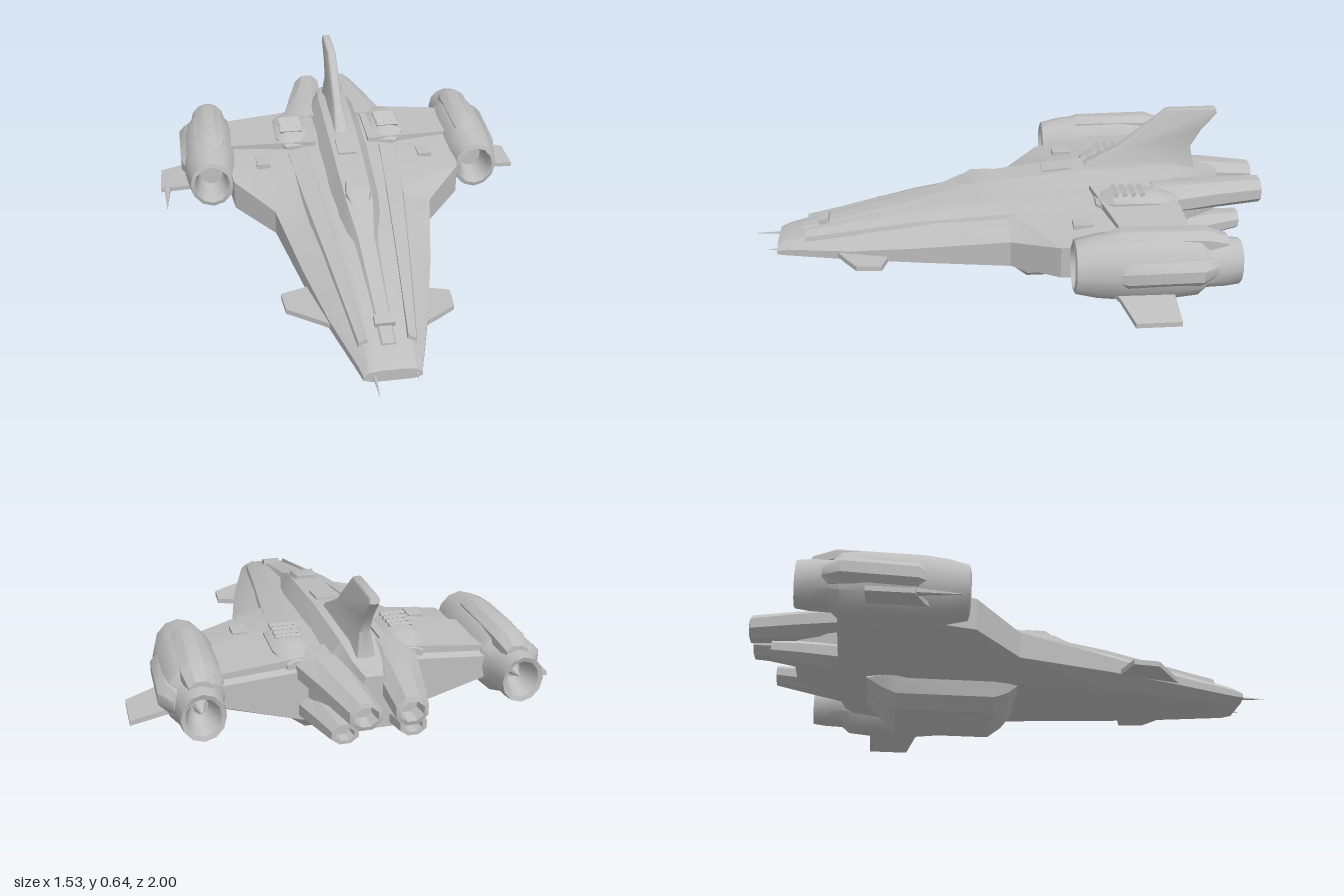
import * as THREE from 'three';
import { toCreasedNormals } from 'three/addons/utils/BufferGeometryUtils.js';

export function createModel() {
  const group = new THREE.Group();
  const hullGrey = new THREE.MeshStandardMaterial({ color: 0xbebebe });
  hullGrey.name = 'hull grey';

  const add = (name, geo, crease = 0.6) => {
    const mesh = new THREE.Mesh(toCreasedNormals(geo, crease), hullGrey);
    mesh.name = name;
    group.add(mesh);
    return mesh;
  };

  // Skin between rings of [x, y, z], front to back, each counter-clockwise seen from the front
  function loft(rings) {
    const n = rings[0].length, pos = rings.flat(2), idx = [];
    for (let i = 0; i < rings.length - 1; i++) {
      for (let j = 0; j < n; j++) {
        const k = (j + 1) % n, a = i * n, b = a + n;
        idx.push(b + j, b + k, a + k, b + j, a + k, a + j);
      }
    }
    [0, rings.length - 1].forEach((r, back) => {
      const c = pos.length / 3;
      for (let d = 0; d < 3; d++) pos.push(rings[r].reduce((t, p) => t + p[d], 0) / n);
      for (let j = 0; j < n; j++) {
        const p = r * n + j, q = r * n + (j + 1) % n;
        idx.push(c, back ? q : p, back ? p : q);
      }
    });
    const geo = new THREE.BufferGeometry();
    geo.setAttribute('position', new THREE.Float32BufferAttribute(pos, 3));
    geo.setIndex(idx);
    return geo;
  }

  // Symmetric ring from its right half, listed top to bottom
  const symRing = (z, half) => [
    ...half.map(([x, y]) => [-x, y, z]),
    ...half.filter(p => p[0] > 0).reverse().map(([x, y]) => [x, y, z]),
  ];

  // Eight-sided ring: z, centre x and y, half width, half height
  const octRing = (s, [z, cx, cy, w, h]) => Array.from({ length: 8 }, (_, i) => {
    const a = (i + 0.5) * Math.PI / 4, k = Math.cos(Math.PI / 8);
    return [s * cx + w * Math.cos(a) / k, cy + h * Math.sin(a) / k, z];
  });
  const octLoft = (s, rows) => loft(rows.map(r => octRing(s, r)));

  // Flat plate from an outline of [x, z], its top at y, sloping with distance from x0
  function plate(s, outline, y, thick, slope = 0, x0 = 0) {
    const shape = new THREE.Shape(outline.map(([x, z]) => new THREE.Vector2(s * x, z)));
    const geo = new THREE.ExtrudeGeometry(shape, { depth: thick, bevelEnabled: false });
    geo.rotateX(Math.PI / 2);
    const p = geo.attributes.position;
    for (let i = 0; i < p.count; i++) {
      p.setY(i, p.getY(i) + y + slope * (Math.abs(p.getX(i)) - x0));
    }
    return geo;
  }

  const box = (w, h, d, x, y, z, rx = 0) =>
    new THREE.BoxGeometry(w, h, d).rotateX(rx).translate(x, y, z);

  // Main hull, widening into the wings
  add('hull', loft([
    [0.89, [[0.04, 0.155], [0.08, 0.15], [0.10, 0.135], [0.10, 0.12], [0.07, 0.11]]],
    [0.85, [[0.05, 0.175], [0.08, 0.168], [0.11, 0.145], [0.11, 0.12], [0.07, 0.10]]],
    [0.60, [[0.06, 0.235], [0.10, 0.225], [0.18, 0.165], [0.18, 0.13], [0.12, 0.10]]],
    [0.35, [[0.08, 0.285], [0.13, 0.27], [0.24, 0.20], [0.24, 0.14], [0.16, 0.10]]],
    [0.00, [[0.10, 0.33], [0.16, 0.31], [0.31, 0.25], [0.31, 0.15], [0.20, 0.10]]],
    [-0.17, [[0.10, 0.35], [0.20, 0.33], [0.46, 0.30], [0.46, 0.18], [0.22, 0.10]]],
    [-0.40, [[0.10, 0.37], [0.22, 0.345], [0.49, 0.33], [0.49, 0.19], [0.22, 0.10]]],
    [-0.62, [[0.10, 0.37], [0.22, 0.345], [0.49, 0.325], [0.49, 0.22], [0.20, 0.14]]],
    [-0.655, [[0.10, 0.36], [0.22, 0.33], [0.49, 0.31], [0.49, 0.24], [0.19, 0.15]]],
  ].map(([z, half]) => symRing(z, half))), 0.4);

  // Raised spine with cockpit: z, top half width, top y, base half width, base y
  add('spine', loft([
    [0.80, 0.02, 0.195, 0.04, 0.17],
    [0.32, 0.03, 0.31, 0.07, 0.25],
    [0.17, 0.05, 0.37, 0.09, 0.28],
    [0.00, 0.055, 0.39, 0.11, 0.30],
    [-0.30, 0.06, 0.42, 0.12, 0.33],
    [-0.65, 0.06, 0.425, 0.13, 0.33],
    [-0.76, 0.05, 0.40, 0.10, 0.28],
    [-0.84, 0.03, 0.38, 0.06, 0.28],
  ].map(([z, tw, ty, bw, by]) => symRing(z, [[tw, ty], [bw, by]]))), 0.4);
  add('cockpitCanopy', loft([
    [0.20, 0.025, 0.357, 0.035],
    [0.13, 0.045, 0.392, 0.06],
    [0.05, 0.035, 0.397, 0.055],
  ].map(([z, w, y, bw]) => symRing(z, [[w, y], [bw, y - 0.05]]))));
  add('spineHatch', box(0.075, 0.012, 0.11, 0, 0.412, -0.2, 0.1));
  add('noseHatch', box(0.07, 0.02, 0.04, 0, 0.222, 0.71, 0.24));

  // Belly pod with a central groove: z, width factor, floor y
  add('bellyPod', loft([
    [0.01, 0.9, 0.10], [-0.03, 0.95, 0.04], [-0.08, 1, 0.003],
    [-0.44, 1, 0.003], [-0.49, 0.9, 0.05], [-0.55, 0.75, 0.12],
  ].map(([z, w, f]) => symRing(z, [
    [0.12 * w, 0.16], [0.20 * w, 0.115], [0.185 * w, f + (0.105 - f) * 0.4],
    [0.13 * w, f], [0.06 * w, f], [0, f + (0.11 - f) * 0.22],
  ]))), 0.5);

  // Tail block and dorsal fin
  add('tailBlock', loft([
    [-0.55, [[0.12, 0.37], [0.20, 0.32], [0.20, 0.20], [0.14, 0.13]]],
    [-0.70, [[0.10, 0.37], [0.16, 0.33], [0.16, 0.20], [0.12, 0.15]]],
    [-0.82, [[0.07, 0.34], [0.10, 0.32], [0.10, 0.22], [0.08, 0.18]]],
  ].map(([z, half]) => symRing(z, half))));
  const finShape = new THREE.Shape([
    [0.30, 0.40], [0.33, 0.43], [0.45, 0.49], [0.63, 0.638], [0.81, 0.638],
    [0.815, 0.625], [0.76, 0.56], [0.72, 0.49], [0.74, 0.40],
  ].map(([z, y]) => new THREE.Vector2(z, y)));
  const fin = new THREE.ExtrudeGeometry(finShape, {
    depth: 0.016, bevelThickness: 0.01, bevelSize: 0.008, bevelSegments: 2,
  }).translate(0, 0, -0.008).rotateY(Math.PI / 2);
  const fp = fin.attributes.position;
  for (let i = 0; i < fp.count; i++) {
    fp.setX(i, fp.getX(i) * (1 + Math.max(0, 0.5 - fp.getY(i)) * 8));
  }
  add('tailFin', fin, 0.8);

  // Engine pod profile: radius factor and z, from rear nozzle to front intake
  const podProfile = [
    [0.001, -0.70], [0.03, -0.70], [0.045, -0.74], [0.062, -0.785], [0.078, -0.79],
    [0.084, -0.74], [0.086, -0.67], [0.11, -0.64], [0.118, -0.55], [0.116, -0.36],
    [0.108, -0.28], [0.092, -0.205], [0.076, -0.20], [0.062, -0.24], [0.05, -0.31], [0.001, -0.31],
  ].map(p => new THREE.Vector2(...p));

  for (const s of [1, -1]) {
    const side = s > 0 ? 'left' : 'right';
    const part = (name, geo, crease) => add(side + name, geo, crease);

    // Engine pod with its fairings
    part('EnginePod', new THREE.LatheGeometry(podProfile, 12).rotateZ(0)
      .rotateX(Math.PI / 2).scale(0.95, 1.08, 1).translate(s * 0.548, 0.275, 0), 0.7);
    part('EngineCone', new THREE.ConeGeometry(0.025, 0.07, 8)
      .rotateX(-Math.PI / 2).translate(s * 0.548, 0.275, -0.73), 0.8);
    part('PodOuterFairing', octLoft(s, [
      [-0.33, 0.61, 0.27, 0.03, 0.03], [-0.38, 0.625, 0.28, 0.045, 0.05],
      [-0.64, 0.625, 0.285, 0.05, 0.05], [-0.70, 0.60, 0.285, 0.03, 0.035],
    ]));
    part('PodTopFairing', octLoft(s, [
      [-0.28, 0.54, 0.36, 0.03, 0.02], [-0.36, 0.54, 0.375, 0.05, 0.033],
      [-0.66, 0.545, 0.37, 0.055, 0.038], [-0.74, 0.545, 0.35, 0.04, 0.03],
    ]));

    // Drooping fin on the pod
    part('PodFin', plate(s, [[0.60, -0.33], [0.64, -0.355], [0.765, -0.39], [0.765, -0.55], [0.60, -0.55]],
      0.198, 0.018, -0.21, 0.62), 0.4);

    // Raised wing armour and small wing hatch
    part('WingArmour', plate(s, [[0.11, -0.32], [0.47, -0.40], [0.47, -0.63], [0.11, -0.63]],
      0.379, 0.03, -0.1, 0.11), 0.4);
    part('WingHatch', box(0.055, 0.02, 0.075, s * 0.335, 0.328, -0.265));

    // Shoulder housing with louvred vent
    part('VentHousing', octLoft(s, [
      [-0.33, 0.19, 0.35, 0.04, 0.01], [-0.39, 0.20, 0.355, 0.07, 0.04],
      [-0.55, 0.20, 0.355, 0.07, 0.04], [-0.64, 0.19, 0.345, 0.05, 0.02],
    ]));
    for (let i = 0; i < 4; i++) {
      part('VentSlat', box(0.09, 0.012, 0.018, s * 0.205, 0.398, -0.40 - i * 0.033, 0.5));
    }

    // Long strake running along the upper hull
    part('Strake', loft([
      [0.78, 0.085, 0.19, 0.02], [0.35, 0.13, 0.268, 0.035],
      [0.00, 0.165, 0.31, 0.045], [-0.30, 0.19, 0.342, 0.05],
    ].map(([z, cx, y, w]) => [[w, -0.035], [w * 0.7, 0], [-w * 0.7, 0.016], [-w, -0.02]]
      .map(([dx, dy]) => [s * cx + s * dx, y + dy, z]))
      .map(r => (s > 0 ? r : r.reverse()))), 0.4);

    // Twin tail thrusters, upper and lower, with recessed ends
    part('UpperThruster', octLoft(s, [
      [-0.56, 0.13, 0.33, 0.095, 0.05], [-0.66, 0.12, 0.33, 0.088, 0.055],
      [-0.82, 0.10, 0.33, 0.07, 0.053], [-0.995, 0.075, 0.325, 0.053, 0.047],
      [-1.0, 0.075, 0.325, 0.038, 0.033], [-0.95, 0.075, 0.325, 0.03, 0.025],
    ]));
    part('LowerThruster', octLoft(s, [
      [-0.45, 0.13, 0.17, 0.08, 0.055], [-0.65, 0.13, 0.19, 0.075, 0.05],
      [-0.80, 0.12, 0.21, 0.06, 0.043], [-0.905, 0.115, 0.22, 0.045, 0.034],
      [-0.905, 0.115, 0.22, 0.03, 0.022], [-0.87, 0.115, 0.22, 0.024, 0.018],
    ]));
  }

  // Canards, set slightly apart along the hull
  add('leftCanard', plate(1, [[0.15, 0.66], [0.215, 0.62], [0.28, 0.575], [0.285, 0.48], [0.20, 0.455]], 0.155, 0.02), 0.4);
  add('rightCanard', plate(-1, [[0.16, 0.63], [0.21, 0.59], [0.32, 0.51], [0.33, 0.415], [0.20, 0.375]], 0.155, 0.02), 0.4);

  // Nose probes and the spike on the right pod fin
  const spike = (r, len, x, y, z) =>
    new THREE.ConeGeometry(r, len, 6).rotateX(Math.PI / 2).translate(x, y, z + len / 2);
  add('longNoseProbe', spike(0.009, 0.15, -0.062, 0.132, 0.85), 0.8);
  add('shortNoseProbe', spike(0.009, 0.08, 0.08, 0.132, 0.85), 0.8);
  add('podFinSpike', spike(0.016, 0.19, -0.738, 0.168, -0.40), 0.8);

  return group;
}
